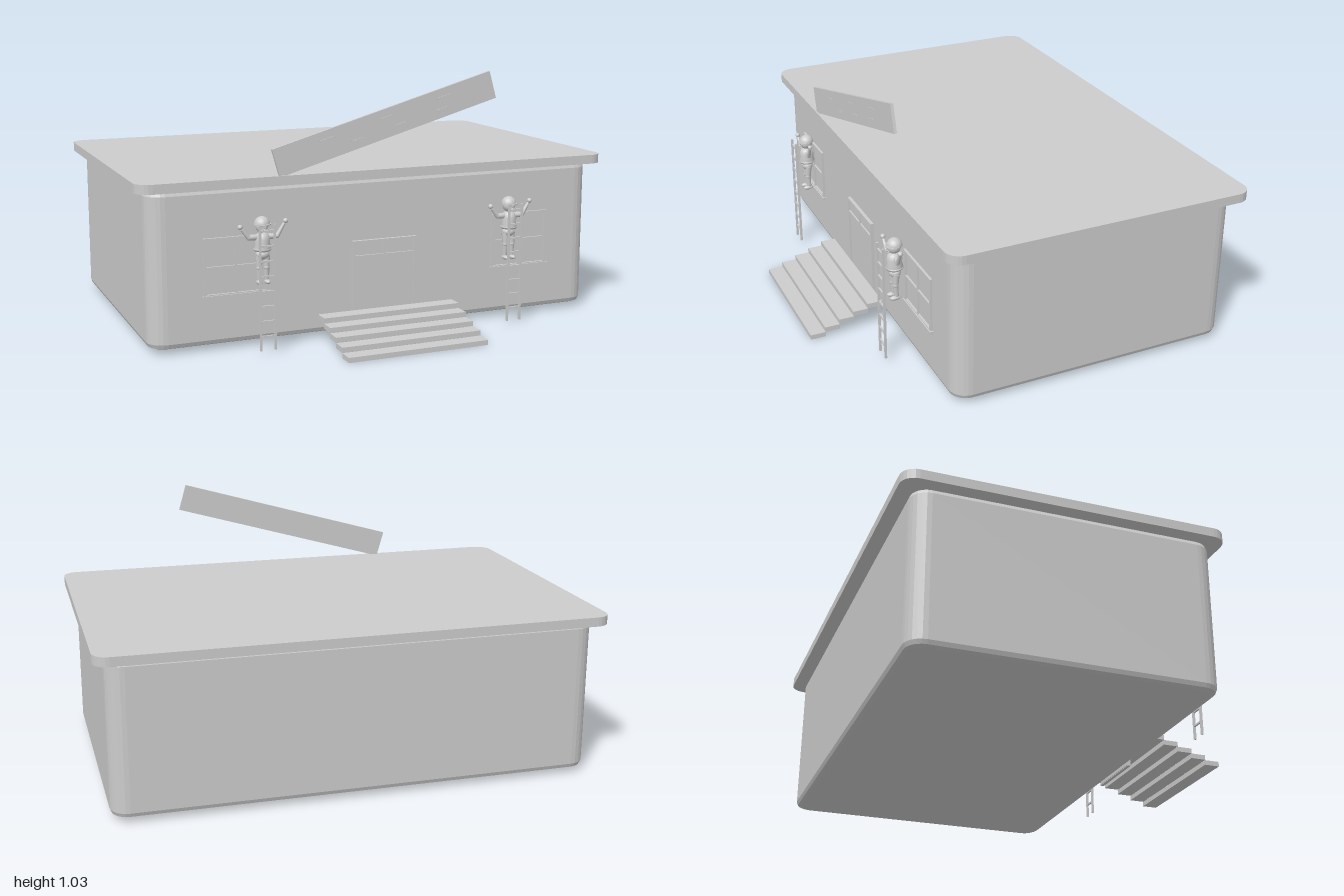
import * as THREE from 'three';

const grey = new THREE.MeshStandardMaterial({ color: 0xcccccc });
grey.name = 'plain grey';

function add(parent, name, geometry, x = 0, y = 0, z = 0) {
  const mesh = new THREE.Mesh(geometry, grey);
  mesh.name = name;
  mesh.position.set(x, y, z);
  parent.add(mesh);
  return mesh;
}

function box(parent, name, w, h, d, x, y, z) {
  return add(parent, name, new THREE.BoxGeometry(w, h, d), x, y, z);
}

// Upright slab with rounded plan corners and softened top and bottom edges
function roundedSlab(parent, name, w, d, radius, y0, y1, bevel, z) {
  const s = new THREE.Shape();
  const a = w / 2, b = d / 2, q = Math.PI / 2;
  s.absarc(a - radius, b - radius, radius, 0, q);
  s.absarc(radius - a, b - radius, radius, q, 2 * q);
  s.absarc(radius - a, radius - b, radius, 2 * q, 3 * q);
  s.absarc(a - radius, radius - b, radius, 3 * q, 4 * q);
  const g = new THREE.ExtrudeGeometry(s, {
    depth: y1 - y0 - 2 * bevel, curveSegments: 3, bevelEnabled: bevel > 0,
    bevelThickness: bevel, bevelSize: bevel, bevelOffset: -bevel, bevelSegments: 2,
  });
  g.rotateX(-Math.PI / 2);
  return add(parent, name, g, 0, y0 + bevel, z);
}

// Flat rectangular frame standing on the wall
function frame(parent, name, x, y0, y1, w, bar, depth, z) {
  const h = y1 - y0, yc = (y0 + y1) / 2;
  for (const s of [-1, 1]) {
    box(parent, name + 'Side', bar, h, depth, x + s * (w - bar) / 2, yc, z);
    box(parent, name + 'Rail', w - 2 * bar, bar, depth, x, yc + s * (h - bar) / 2, z);
  }
}

// Tapered limb between two points
function limb(parent, name, a, b, ra, rb) {
  const p = new THREE.Vector3(...a), q = new THREE.Vector3(...b);
  const dir = q.clone().sub(p);
  const m = add(parent, name, new THREE.CylinderGeometry(rb, ra, dir.length(), 12));
  m.position.copy(p).add(q).multiplyScalar(0.5);
  m.quaternion.setFromUnitVectors(new THREE.Vector3(0, 1, 0), dir.normalize());
}

function ball(parent, name, r, x, y, z, sx = 1, sy = 1, sz = 1) {
  add(parent, name, new THREE.SphereGeometry(r, 16, 12), x, y, z).scale.set(sx, sy, sz);
}

function windowUnit(x) {
  const g = new THREE.Group();
  g.name = 'window';
  frame(g, 'windowFrame', x, 0.21, 0.44, 0.26, 0.012, 0.012, 0.444);
  box(g, 'verticalBar', 0.008, 0.21, 0.01, x, 0.325, 0.443);
  box(g, 'crossBar', 0.24, 0.008, 0.01, x, 0.325, 0.443);
  box(g, 'sill', 0.272, 0.012, 0.018, x, 0.212, 0.446);
  return g;
}

function ladder(x) {
  const g = new THREE.Group();
  g.name = 'ladder';
  for (const s of [-1, 1]) box(g, 'ladderRail', 0.008, 0.485, 0.009, x + s * 0.029, 0.258, 0.561);
  for (let i = 0; i < 8; i++) box(g, 'rung', 0.052, 0.007, 0.007, x, 0.07 + i * 0.058, 0.561);
  return g;
}

function worker(x) {
  const g = new THREE.Group();
  g.name = 'worker';
  g.position.set(x, 0, 0.505);
  // Head with cap and goggles
  ball(g, 'head', 0.027, 0, 0.485, 0, 0.95, 1, 1);
  const cap = new THREE.SphereGeometry(0.031, 16, 8, 0, Math.PI * 2, 0, Math.PI / 2);
  add(g, 'cap', cap, 0, 0.491, -0.002);
  add(g, 'capBrim', new THREE.CylinderGeometry(0.033, 0.033, 0.004, 20), 0, 0.492, 0.002);
  for (const s of [-1, 1]) {
    const eye = add(g, 'goggle', new THREE.TorusGeometry(0.008, 0.0025, 6, 14), s * 0.01, 0.482, 0.026);
    eye.rotation.y = s * 0.3;
  }
  ball(g, 'nose', 0.005, 0, 0.474, 0.028);
  // Jacket, belt and hips
  const jacket = [[0, 0.388], [0.03, 0.39], [0.033, 0.402], [0.028, 0.42], [0.03, 0.435], [0.024, 0.453], [0.011, 0.461], [0, 0.463]];
  add(g, 'jacket', new THREE.LatheGeometry(jacket.map(p => new THREE.Vector2(...p)), 18)).scale.z = 1.05;
  add(g, 'jacketHem', new THREE.TorusGeometry(0.03, 0.005, 8, 20), 0, 0.397, 0).rotation.x = Math.PI / 2;
  ball(g, 'hips', 0.027, 0, 0.376, 0, 1, 0.75, 0.9);
  // Raised arms and legs
  for (const s of [-1, 1]) {
    const lift = s > 0 ? 0.012 : 0;
    limb(g, 'upperArm', [s * 0.022, 0.443, 0], [s * 0.056, 0.444, 0.008], 0.012, 0.009);
    ball(g, 'elbow', 0.009, s * 0.056, 0.444, 0.008);
    limb(g, 'forearm', [s * 0.056, 0.444, 0.008], [s * 0.085, 0.48 + lift, 0.01], 0.009, 0.006);
    ball(g, 'hand', 0.01, s * 0.09, 0.488 + lift, 0.01);
    limb(g, 'thigh', [s * 0.014, 0.372, 0], [s * 0.015, 0.325, 0.003], 0.015, 0.011);
    ball(g, 'knee', 0.012, s * 0.015, 0.325, 0.003);
    limb(g, 'shin', [s * 0.015, 0.325, 0.003], [s * 0.015, 0.275, 0], 0.011, 0.009);
    ball(g, 'boot', 0.012, s * 0.016, 0.27, 0.006, 0.95, 0.75, 1.8);
  }
  return g;
}

export function createModel() {
  const model = new THREE.Group();
  model.name = 'building';

  // Main building and overhanging flat roof
  roundedSlab(model, 'walls', 1.91, 1.175, 0.07, 0.02, 0.63, 0.022, -0.1475);
  roundedSlab(model, 'roof', 2, 1.265, 0.06, 0.628, 0.665, 0, -0.1525);

  // Door with a divided light above it
  const door = new THREE.Group();
  door.name = 'door';
  model.add(door);
  box(door, 'doorPanel', 0.27, 0.36, 0.008, 0, 0.198, 0.442);
  frame(door, 'doorFrame', 0, 0.015, 0.38, 0.276, 0.01, 0.014, 0.447);
  box(door, 'transomRail', 0.256, 0.01, 0.012, 0, 0.315, 0.447);
  box(door, 'transomBar', 0.01, 0.056, 0.012, 0, 0.347, 0.447);

  // Floating stair treads
  const stairs = new THREE.Group();
  stairs.name = 'stairs';
  model.add(stairs);
  for (let i = 0; i < 5; i++) {
    box(stairs, 'tread', 0.585, 0.02, 0.063, 0, 0.0105 + i * 0.0212, 0.748 - i * 0.0615);
  }

  // Tilted board on the roof edge with raised dashes
  const board = new THREE.Group();
  board.name = 'signBoard';
  board.position.set(0, 0.845, 0.467);
  board.rotation.z = 0.28;
  model.add(board);
  box(board, 'boardPanel', 0.962, 0.113, 0.012, 0, 0, 0);
  for (let i = 0; i < 3; i++) {
    box(board, 'upperDash', 0.06, 0.007, 0.004, -0.26 + i * 0.26, 0.022, 0.007);
    box(board, 'lowerDash', 0.05, 0.007, 0.004, -0.14 + i * 0.19, -0.022, 0.007);
  }

  // Windows, ladders and workers on both sides of the door
  for (const s of [-1, 1]) {
    model.add(windowUnit(s * 0.616), ladder(s * 0.53), worker(s * 0.531));
  }
  return model;
}
